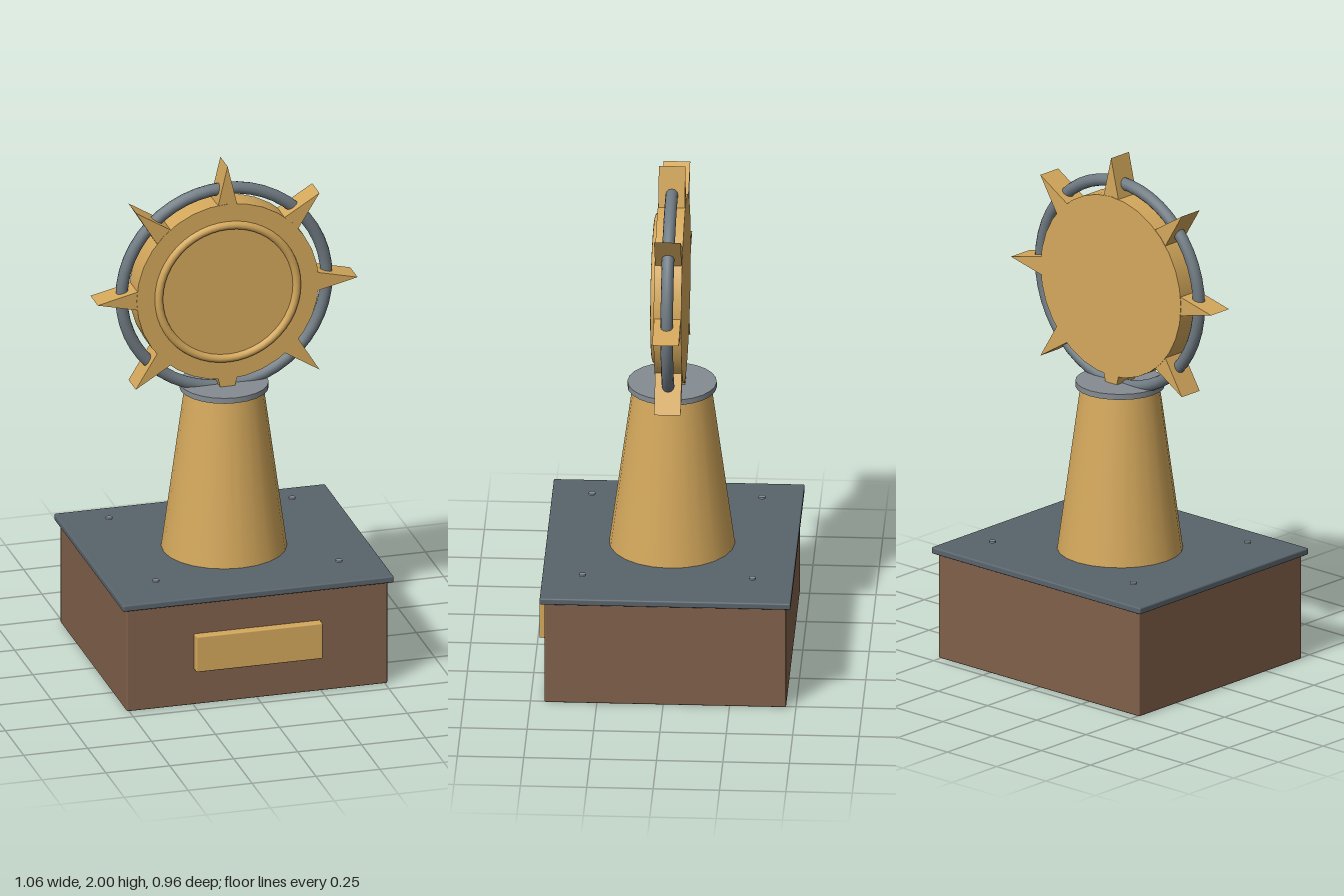
import * as THREE from 'three';
import { RoundedBoxGeometry } from 'three/addons/geometries/RoundedBoxGeometry.js';

export function createModel() {
  const model = new THREE.Group();
  const mat = (color) => new THREE.MeshStandardMaterial({ color });
  const gold = mat(0xd4a85c), wood = mat(0x80604a), slate = mat(0x59646b);
  const steel = mat(0x6f7a82), paleSteel = mat(0x858c92);
  const cz = -0.008; // common axis of base, column and emblem

  function add(parent, name, geometry, material, x = 0, y = 0, z = 0) {
    const mesh = new THREE.Mesh(geometry, material);
    mesh.name = name;
    mesh.position.set(x, y, z);
    parent.add(mesh);
    return mesh;
  }

  // Plinth, top plate and blank name plate
  add(model, 'base', new RoundedBoxGeometry(1.02, 0.415, 0.91, 2, 0.006), wood, 0, 0.2075, cz);
  add(model, 'topPlate', new RoundedBoxGeometry(1.06, 0.026, 0.945, 2, 0.006), slate, 0, 0.427, cz);
  add(model, 'namePlate', new RoundedBoxGeometry(0.494, 0.145, 0.04, 2, 0.005), gold, 0, 0.215, 0.46);

  // Small studs above the plate corners
  for (const x of [-0.358, 0.358]) {
    for (const z of [-0.32, 0.32]) {
      add(model, 'stud', new THREE.CylinderGeometry(0.013, 0.013, 0.007, 16), paleSteel, x, 0.463, z + cz);
    }
  }

  // Tapered column and its cap
  add(model, 'column', new THREE.CylinderGeometry(0.149, 0.237, 0.648, 24), gold, 0, 0.763, cz);
  add(model, 'columnCap', new THREE.CylinderGeometry(0.168, 0.168, 0.022, 24), paleSteel, 0, 1.095, cz);

  // Emblem: disc, raised rim, surrounding ring and eight spikes
  const emblem = new THREE.Group();
  emblem.name = 'emblem';
  emblem.position.set(0, 1.492, cz);
  model.add(emblem);

  const disc = add(emblem, 'disc', new THREE.CylinderGeometry(0.356, 0.356, 0.104, 32), gold);
  disc.rotation.x = Math.PI / 2;
  add(emblem, 'rim', new THREE.TorusGeometry(0.27, 0.016, 12, 48), gold, 0, 0, 0.053);
  add(emblem, 'ring', new THREE.TorusGeometry(0.401, 0.0235, 12, 48), steel);

  const outline = new THREE.Shape();
  outline.moveTo(-0.04, 0.34);
  outline.lineTo(0.04, 0.34);
  outline.lineTo(0, 0.508);
  outline.closePath();
  const spikeGeometry = new THREE.ExtrudeGeometry(outline, { depth: 0.1, bevelEnabled: false });
  spikeGeometry.translate(0, 0, -0.05);
  for (let i = 0; i < 8; i++) {
    add(emblem, 'spike', spikeGeometry, gold).rotation.z = (i * Math.PI) / 4;
  }

  return model;
}
